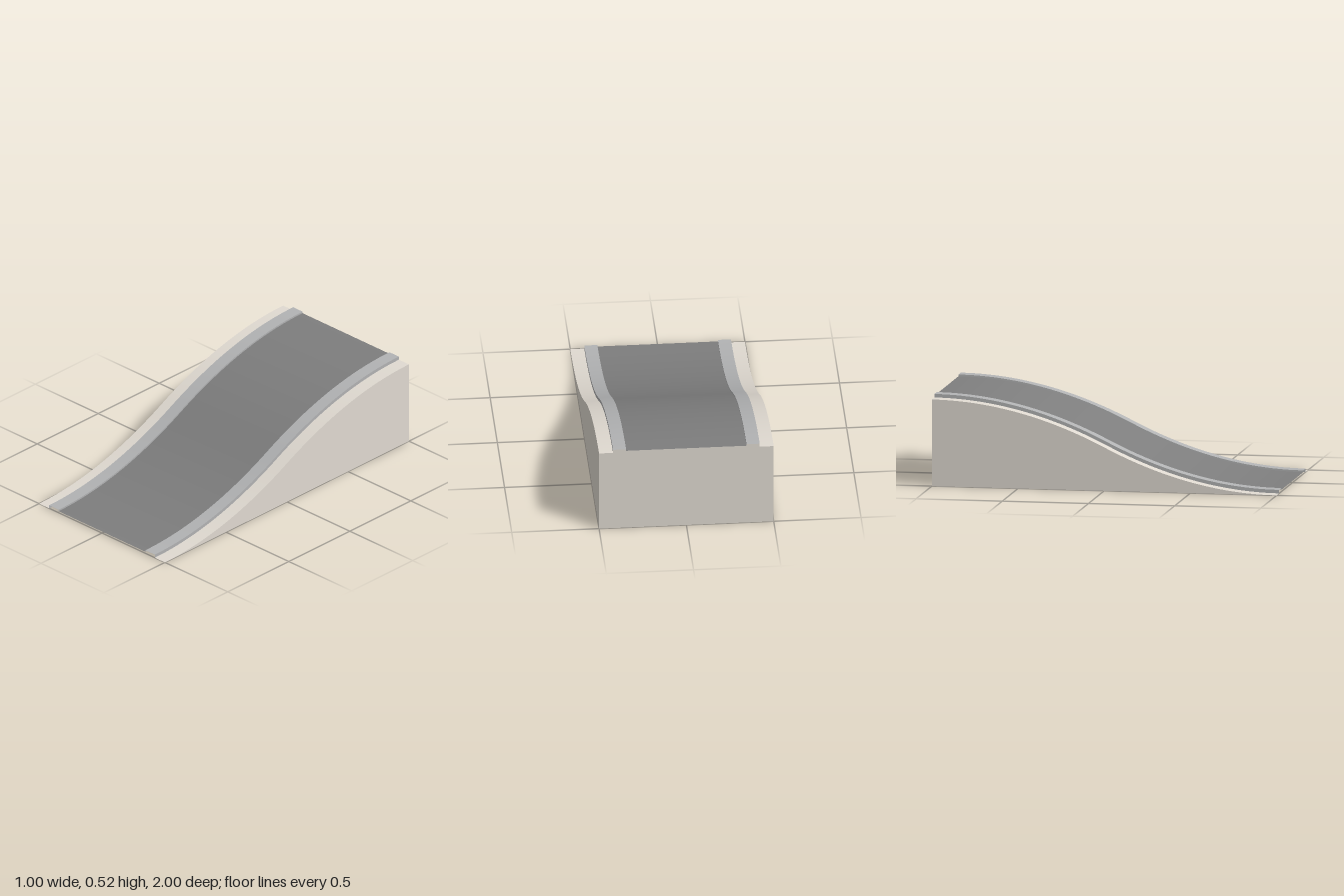
import * as THREE from 'three';

const SEGMENTS = 48;

// Ramp height at z: two parabolic halves meeting at mid slope
function rampHeight(z) {
  return z > 0 ? 0.25 * (1 - z) ** 2 : 0.5 - 0.25 * (1 + z) ** 2;
}

const makeMaterial = (color) =>
  new THREE.MeshStandardMaterial({ color, side: THREE.DoubleSide });

// Sheet swept along the ramp between two [x, lift] edge points
function ribbon(name, [x0, lift0], [x1, lift1], material) {
  const positions = [];
  const index = [];
  for (let i = 0; i <= SEGMENTS; i++) {
    const z = 1 - (2 * i) / SEGMENTS;
    const y = rampHeight(z);
    positions.push(x0, y + lift0, z, x1, y + lift1, z);
    if (i < SEGMENTS) {
      const a = 2 * i;
      index.push(a, a + 1, a + 3, a, a + 3, a + 2);
    }
  }
  const geometry = new THREE.BufferGeometry();
  geometry.setAttribute('position', new THREE.Float32BufferAttribute(positions, 3));
  geometry.setIndex(index);
  geometry.computeVertexNormals();
  const mesh = new THREE.Mesh(geometry, material);
  mesh.name = name;
  return mesh;
}

export function createModel() {
  const group = new THREE.Group();
  group.name = 'roadRamp';
  const stone = makeMaterial(0xe0dad1);
  const kerb = makeMaterial(0xb2b3b4);
  const asphalt = makeMaterial(0x7e7e7e);

  // Cross-section from -x to +x: verge, raised kerb, road, kerb, verge
  const section = [
    [-0.5, 0], [-0.42, 0], [-0.42, 0.02], [-0.345, 0.02], [-0.345, 0.01],
    [0.345, 0.01], [0.345, 0.02], [0.42, 0.02], [0.42, 0], [0.5, 0],
  ];
  const strips = [
    ['rightVerge', stone], ['rightKerbOuterFace', kerb], ['rightKerbTop', kerb],
    ['rightKerbInnerFace', kerb], ['roadSurface', asphalt], ['leftKerbInnerFace', kerb],
    ['leftKerbTop', kerb], ['leftKerbOuterFace', kerb], ['leftVerge', stone],
  ];
  strips.forEach(([name, material], i) =>
    group.add(ribbon(name, section[i], section[i + 1], material)));

  // Side walls under the ramp curve, with the underside left open
  const profile = [new THREE.Vector2(-1, 0)];
  for (let i = 0; i < SEGMENTS; i++) {
    const z = -1 + (2 * i) / SEGMENTS;
    profile.push(new THREE.Vector2(z, rampHeight(z)));
  }
  profile.push(new THREE.Vector2(1, 0));
  for (const side of [-1, 1]) {
    // Mirror the outline so that each wall faces outward
    const outline = profile.map((p) => new THREE.Vector2(-side * p.x, p.y));
    const wall = new THREE.Mesh(new THREE.ShapeGeometry(new THREE.Shape(outline)), stone);
    wall.rotation.y = (side * Math.PI) / 2;
    wall.position.x = side * 0.5;
    wall.name = side > 0 ? 'leftWall' : 'rightWall';
    group.add(wall);
  }

  // Back wall, its top edge following the road cross-section
  const backOutline = [[-0.5, -0.5], ...section, [0.5, -0.5]]
    .map(([x, lift]) => new THREE.Vector2(x, 0.5 + lift));
  const back = new THREE.Mesh(new THREE.ShapeGeometry(new THREE.Shape(backOutline)), stone);
  back.rotation.y = Math.PI;
  back.position.z = -1;
  back.name = 'backWall';
  group.add(back);

  return group;
}
